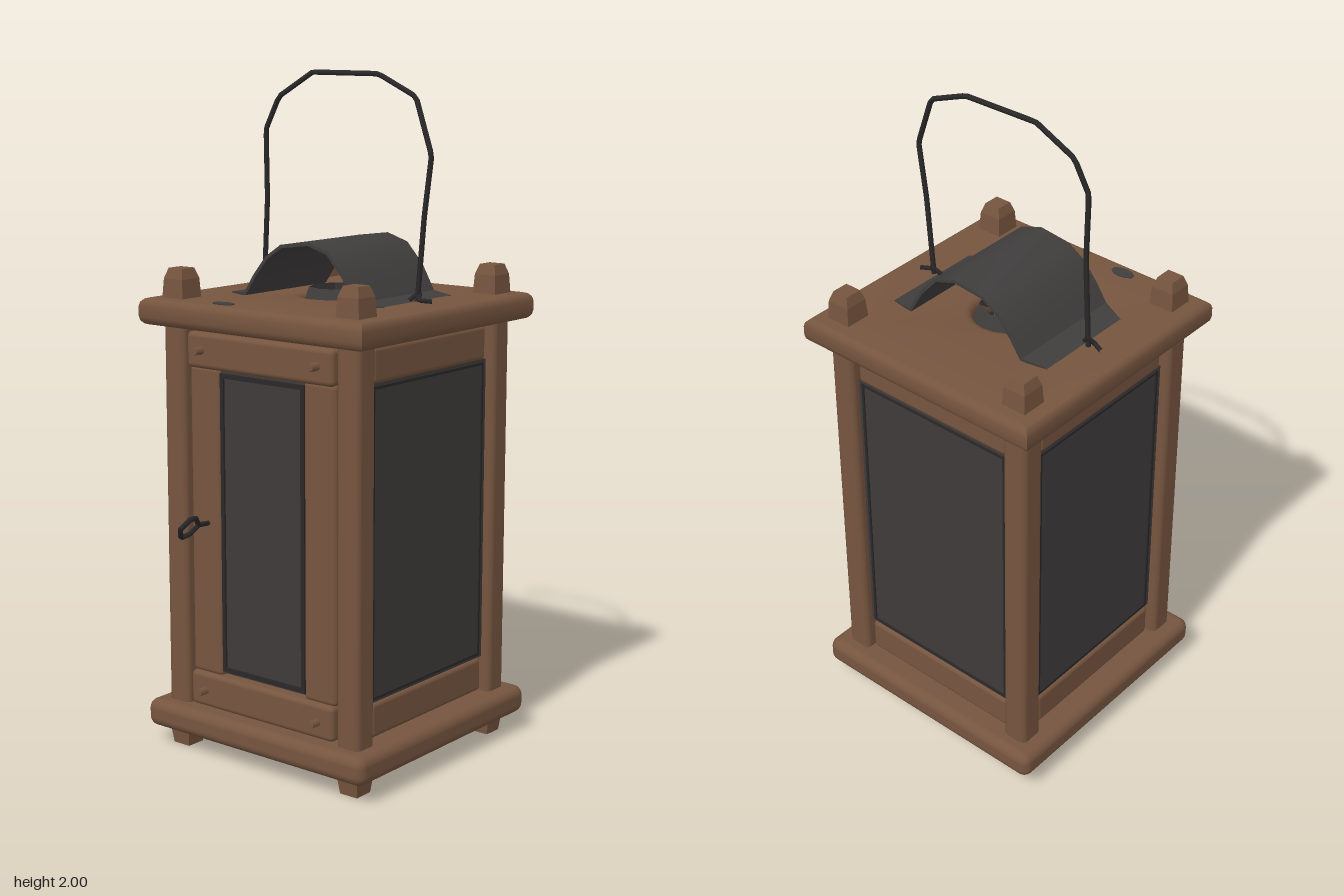
import * as THREE from 'three';
import { toCreasedNormals } from 'three/addons/utils/BufferGeometryUtils.js';
import { RoundedBoxGeometry } from 'three/addons/geometries/RoundedBoxGeometry.js';

const mat = (name, color, side = THREE.FrontSide) => {
  const m = new THREE.MeshStandardMaterial({ color, side });
  m.name = name;
  return m;
};

export function createModel() {
  const wood = mat('brown wood', 0x76553f);
  const glass = mat('smoked glass', 0x3f3b3b);
  const metal = mat('dark sheet metal', 0x403d3d, THREE.DoubleSide);
  const iron = mat('black iron', 0x2a2828);
  const model = new THREE.Group();
  model.name = 'lantern';
  const midZ = -0.03;

  const add = (name, geo, material, x = 0, y = 0, z = 0, parent = model) => {
    const m = new THREE.Mesh(geo, material);
    m.name = name;
    m.position.set(x, y, z);
    parent.add(m);
    return m;
  };
  const beam = (name, w, h, d, x, y, z, r = 0.018, parent = model) =>
    add(name, new RoundedBoxGeometry(w, h, d, 3, r), wood, x, y, z, parent);
  // Wire bent in straight sections
  const wire = (name, pts, r, segments) => {
    const path = new THREE.CatmullRomCurve3(pts.map(p => new THREE.Vector3(...p)), false, 'catmullrom', 0);
    return add(name, new THREE.TubeGeometry(path, segments, r, 5), iron);
  };

  // Base board, and roof board with a smoke hole
  beam('baseBoard', 0.82, 0.085, 0.82, 0, 0.098, midZ, 0.03);
  const bevel = 0.025, e = 0.41 - bevel;
  const roof = new THREE.Shape([[-e, -e], [e, -e], [e, e], [-e, e]].map(p => new THREE.Vector2(...p)));
  roof.holes.push(new THREE.Path().absarc(0, 0, 0.13, 0, Math.PI * 2, true));
  const roofGeo = new THREE.ExtrudeGeometry(roof, {
    depth: 0.03, bevelEnabled: true, bevelSize: bevel, bevelThickness: bevel, bevelSegments: 3, curveSegments: 10,
  });
  roofGeo.rotateX(-Math.PI / 2);
  add('roofBoard', toCreasedNormals(roofGeo, 0.7), wood, 0, 1.3, midZ);

  // Ragged collar lining the smoke hole, and a dark spot on the roof
  const collarGeo = new THREE.CylinderGeometry(0.085, 0.11, 0.07, 8, 1, true).toNonIndexed();
  collarGeo.computeVertexNormals();
  add('smokeCollar', collarGeo, metal, 0, 1.345, midZ);
  const spot = add('roofSpot', new THREE.CylinderGeometry(0.038, 0.038, 0.004, 10), metal, -0.125, 1.356, 0.33);
  spot.scale.z = 0.55;

  // Corner posts with tapered ends
  for (const x of [-0.32, 0.322]) for (const z of [-0.35, 0.293]) {
    const post = new THREE.Group();
    post.name = 'cornerPost';
    post.position.set(x, 0, z);
    model.add(post);
    beam('postShaft', 0.08, 1.2, 0.08, 0, 0.71, 0, 0.018, post);
    const end = (name, rTop, rBottom, h, y) => {
      const g = new THREE.CylinderGeometry(rTop * Math.SQRT2, rBottom * Math.SQRT2, h, 4);
      g.rotateY(Math.PI / 4);
      add(name, toCreasedNormals(g, 0.5), wood, 0, y, 0, post);
    };
    end('postTop', 0.036, 0.04, 0.06, 1.38);
    end('postTip', 0.026, 0.036, 0.03, 1.425);
    end('postFoot', 0.038, 0.03, 0.06, 0.03);
  }

  // One walled side: rails above and below, glass pane with a thin edge strip; faces +z
  const wall = (name, width, halfDepth) => {
    const g = new THREE.Group();
    g.name = name;
    const z = halfDepth;
    beam('lowerRail', width, 0.105, 0.05, 0, 0.198, z, 0.015, g);
    beam('upperRail', width, 0.105, 0.05, 0, 1.215, z, 0.015, g);
    add('pane', new THREE.BoxGeometry(width + 0.02, 0.915, 0.03), glass, 0, 0.707, z + 0.002, g);
    for (const s of [-1, 1]) {
      add('paneEdge', new THREE.BoxGeometry(0.008, 0.9, 0.006), iron, s * (width / 2 - 0.01), 0.707, z + 0.018, g);
      add('paneEdge', new THREE.BoxGeometry(width - 0.02, 0.008, 0.006), iron, 0, 0.707 + s * 0.445, z + 0.018, g);
    }
    model.add(g);
    return g;
  };
  for (const s of [-1, 1]) {
    const side = wall(s > 0 ? 'leftWall' : 'rightWall', 0.54, 0.315);
    side.rotation.y = s * Math.PI / 2;
    side.position.z = midZ;
  }
  wall('backWall', 0.55, 0.315).rotation.y = Math.PI;
  model.getObjectByName('backWall').position.z = midZ;

  // Front door
  const door = new THREE.Group();
  door.name = 'door';
  model.add(door);
  beam('lowerRail', 0.54, 0.105, 0.05, 0.003, 0.198, 0.31, 0.015, door);
  beam('upperRail', 0.54, 0.105, 0.05, 0.003, 1.213, 0.31, 0.015, door);
  for (const s of [-1, 1]) {
    beam('doorStile', 0.114, 0.92, 0.045, 0.003 + s * 0.213, 0.707, 0.3, 0.014, door);
    add('paneEdge', new THREE.BoxGeometry(0.014, 0.89, 0.01), iron, s * 0.15, 0.707, 0.311, door);
    add('paneEdge', new THREE.BoxGeometry(0.31, 0.014, 0.01), iron, 0, 0.707 + s * 0.438, 0.311, door);
    for (const y of [0.197, 1.215]) {
      const peg = new THREE.CylinderGeometry(0.011, 0.013, 0.035, 6);
      peg.rotateX(Math.PI / 2);
      add('peg', peg, wood, 0.005 + s * 0.213, y, 0.347, door);
    }
  }
  add('doorPane', new THREE.BoxGeometry(0.32, 0.9, 0.02), glass, 0, 0.707, 0.3, door);

  // Door pull: a bent wire loop
  wire('doorPull', [
    [-0.2, 0.705, 0.3], [-0.2, 0.71, 0.365], [-0.19, 0.735, 0.385], [-0.183, 0.738, 0.415],
    [-0.205, 0.708, 0.436], [-0.228, 0.675, 0.41], [-0.22, 0.682, 0.382], [-0.2, 0.71, 0.362],
  ], 0.008, 42);

  // Arched metal hood, swept from x, y, back z, front z sections
  const hood = [
    [-0.272, 1.358, -0.19, 0.13], [-0.195, 1.366, -0.207, 0.162], [-0.16, 1.42, -0.208, 0.161],
    [-0.115, 1.475, -0.21, 0.16], [-0.06, 1.512, -0.212, 0.158], [0.04, 1.525, -0.215, 0.156],
    [0.11, 1.502, -0.218, 0.153], [0.165, 1.44, -0.22, 0.151], [0.207, 1.366, -0.22, 0.15],
    [0.277, 1.358, -0.208, 0.11],
  ];
  const pos = [], idx = [];
  hood.forEach(([x, y, zb, zf], i) => {
    const a = hood[Math.max(i - 1, 0)], b = hood[Math.min(i + 1, hood.length - 1)];
    const n = new THREE.Vector2(a[1] - b[1], b[0] - a[0]).normalize().multiplyScalar(0.01);
    pos.push(x, y, zb, x, y, zf, x - n.x, y - n.y, zf, x - n.x, y - n.y, zb);
    if (i) for (let k = 0; k < 4; k++) {
      const p = (i - 1) * 4 + k, q = (i - 1) * 4 + (k + 1) % 4;
      idx.push(p, q, q + 4, p, q + 4, p + 4);
    }
  });
  const hoodGeo = new THREE.BufferGeometry();
  hoodGeo.setAttribute('position', new THREE.Float32BufferAttribute(pos, 3));
  hoodGeo.setIndex(idx);
  hoodGeo.computeVertexNormals();
  add('hood', toCreasedNormals(hoodGeo, 0.75), metal);

  // Carrying handle and its twisted ends
  wire('handle', [
    [-0.285, 1.34, -0.03], [-0.275, 1.47, -0.026], [-0.265, 1.62, -0.024], [-0.272, 1.825, -0.028],
    [-0.23, 1.92, -0.038], [-0.115, 1.992, -0.055], [0.125, 1.99, -0.057], [0.265, 1.93, -0.045],
    [0.333, 1.77, -0.028], [0.312, 1.6, -0.025], [0.287, 1.36, -0.03],
  ], 0.008, 80);
  for (const s of [-1, 1]) wire('handleTwist', [
    [s * 0.265, 1.362, -0.022], [s * 0.29, 1.385, -0.036], [s * 0.3, 1.365, -0.02], [s * 0.335, 1.363, -0.036],
  ], 0.007, 18);

  return model;
}
